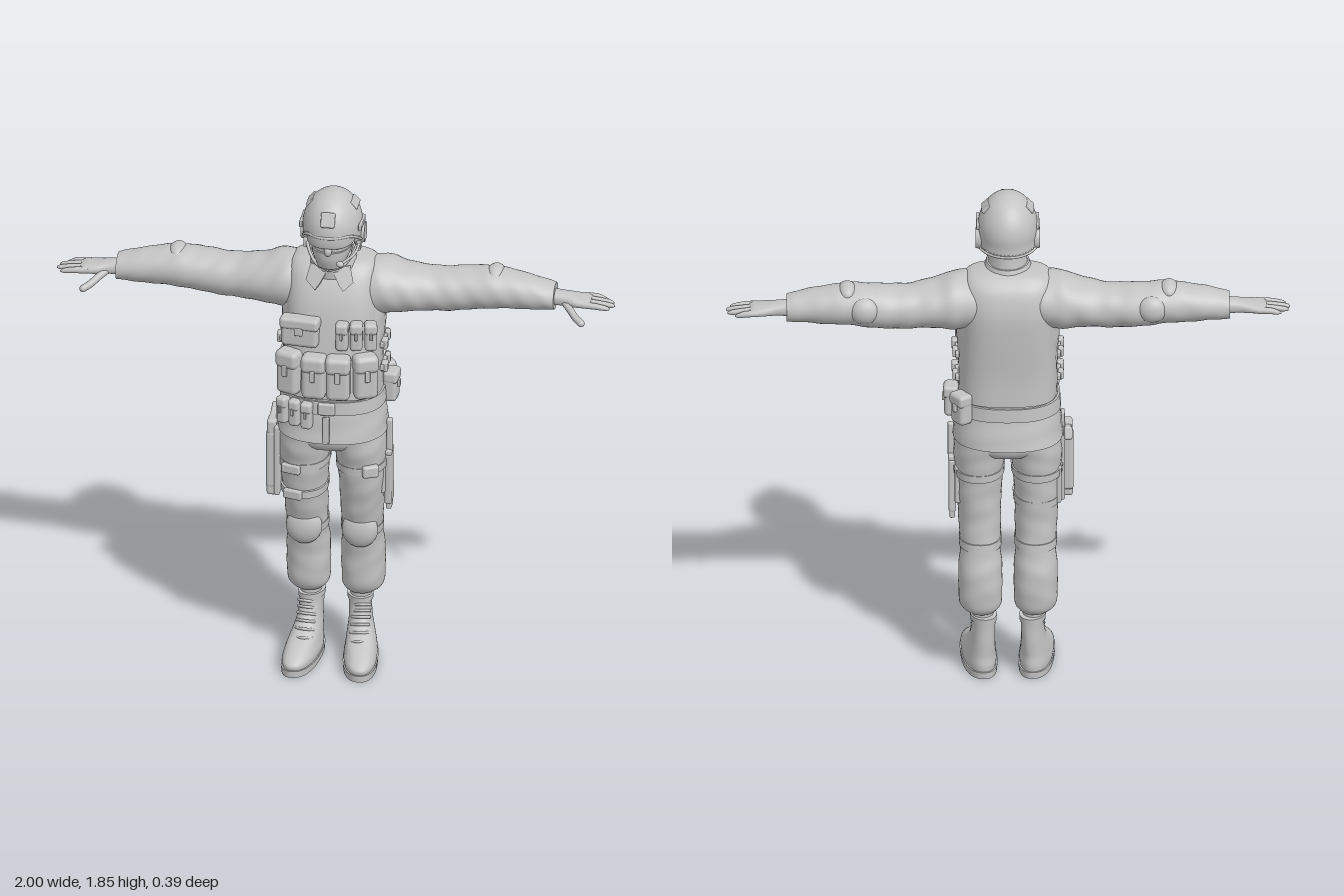
import * as THREE from 'three';
import { RoundedBoxGeometry } from 'three/addons/geometries/RoundedBoxGeometry.js';

const grey = new THREE.MeshStandardMaterial({ color: 0xc4c4c4, side: THREE.DoubleSide });
grey.name = 'plain grey';

// Smooth interpolation through a list of cross-sections
function sample(s, u) {
  const i = Math.min(Math.floor(u), s.length - 2), f = u - i;
  const at = k => s[Math.max(0, Math.min(s.length - 1, k))];
  return s[i].map((b, k) => {
    const a = at(i - 1)[k], c = at(i + 1)[k], d = at(i + 2)[k];
    return b + 0.5 * f * (c - a + f * (2 * a - 5 * b + 4 * c - d + f * (3 * (b - c) + d - a)));
  });
}

// Loft along y with sections [y, cx, cz, rx, rz], or along x with [x, cz, cy, rz, ry]
function loft(name, sections, { axis = 'y', n = 2, fold = 0, steps = 6, seg = 40, bend = 0 } = {}) {
  const pos = [], idx = [], rows = (sections.length - 1) * steps;
  const ring = u => {
    const [t, c1, c2, r1, r2] = sample(sections, u);
    for (let j = 0; j < seg; j++) {
      const th = j / seg * Math.PI * 2, c = Math.cos(th), s = Math.sin(th);
      const w = 1 + fold * Math.sin(t * 62 + 2 * Math.sin(th)) * Math.sin(2 * th + t * 17);
      const a = c1 + r1 * w * Math.sign(c) * Math.abs(c) ** (2 / n);
      const b = c2 + r2 * w * Math.sign(s) * Math.abs(s) ** (2 / n);
      if (axis === 'y') pos.push(a + bend * b, t, b); else pos.push(t, b, a);
    }
    return [t, c1, c2];
  };
  for (let i = 0; i <= rows; i++) ring(i / steps);
  for (let i = 0; i < rows; i++) for (let j = 0; j < seg; j++) {
    const a = i * seg + j, c = i * seg + (j + 1) % seg;
    idx.push(a, a + seg, c, c, a + seg, c + seg);
  }
  for (const end of [0, 1]) {
    const base = pos.length / 3, [t, a, b] = ring(end * (sections.length - 1));
    if (axis === 'y') pos.push(a + bend * b, t, b); else pos.push(t, b, a);
    for (let j = 0; j < seg; j++) {
      const p = base + j, q = base + (j + 1) % seg;
      idx.push(base + seg, end ? q : p, end ? p : q);
    }
  }
  const g = new THREE.BufferGeometry();
  g.setAttribute('position', new THREE.Float32BufferAttribute(pos, 3));
  g.setIndex(idx);
  g.computeVertexNormals();
  return mesh(name, g);
}

function mesh(name, g, p = [0, 0, 0], r = [0, 0, 0], s = [1, 1, 1]) {
  const m = new THREE.Mesh(g, grey);
  m.name = name;
  m.position.set(...p); m.rotation.set(...r); m.scale.set(...s);
  return m;
}
const box = (name, p, [w, h, d], r) =>
  mesh(name, new RoundedBoxGeometry(w, h, d, 2, Math.min(w, h, d) * 0.3), p, r);
const ball = (name, p, s) => mesh(name, new THREE.SphereGeometry(1, 24, 16), p, [0, 0, 0], s);
const tube = (name, pts, r) => mesh(name, new THREE.TubeGeometry(
  new THREE.CatmullRomCurve3(pts.map(p => new THREE.Vector3(...p))), 16, r, 8));

// Pouch with a flap on its outer face and a small snap tab
function pouch(name, p, [w, h, d], ry = 0) {
  const g = new THREE.Group();
  g.name = name;
  g.add(box('pouchBody', [0, 0, 0], [w, h, d]),
    box('pouchFlap', [0, h * 0.32, d * 0.06], [w * 1.06, h * 0.4, d * 1.06]),
    box('pouchTab', [0, h * 0.08, d * 0.56], [w * 0.22, h * 0.26, 0.012]));
  g.position.set(...p); g.rotation.y = ry;
  return g;
}

// Mirrored copy across x with corrected winding
function mirrored(m) {
  m.updateMatrix();
  const g = m.geometry.clone().applyMatrix4(m.matrix).applyMatrix4(new THREE.Matrix4().makeScale(-1, 1, 1));
  const src = g.index ? Array.from(g.index.array) : Array.from({ length: g.attributes.position.count }, (_, i) => i);
  for (let i = 0; i < src.length; i += 3) [src[i], src[i + 1]] = [src[i + 1], src[i]];
  g.setIndex(src);
  return mesh(m.name, g);
}

export function createModel() {
  const root = new THREE.Group();
  root.name = 'soldier';
  const add = (...m) => root.add(...m);
  const pair = (...ms) => ms.forEach(m => root.add(m, mirrored(m)));

  // Jacket, vest, belt and hips
  add(loft('jacket', [[0.92, 0, -0.01, 0.196, 0.177], [0.97, 0, -0.01, 0.19, 0.168], [1.05, 0, -0.008, 0.18, 0.156],
    [1.12, 0, -0.007, 0.176, 0.153], [1.25, 0, -0.015, 0.178, 0.15], [1.35, 0, -0.027, 0.185, 0.145],
    [1.45, 0, -0.037, 0.182, 0.135], [1.53, 0, -0.045, 0.16, 0.11], [1.575, 0, -0.04, 0.11, 0.08]], { n: 2.4, fold: 0.008 }));
  add(loft('vest', [[1.09, 0, -0.007, 0.174, 0.163], [1.2, 0, -0.01, 0.174, 0.16], [1.35, 0, -0.025, 0.17, 0.157],
    [1.45, 0, -0.037, 0.168, 0.148], [1.53, 0, -0.045, 0.163, 0.12], [1.57, 0, -0.045, 0.14, 0.085],
    [1.583, 0, -0.04, 0.08, 0.06]], { n: 3 }));
  add(loft('belt', [[1.03, 0, -0.008, 0.189, 0.165], [1.08, 0, -0.008, 0.185, 0.162]], { n: 2.4, steps: 1 }));
  add(loft('hips', [[0.87, 0, -0.01, 0.12, 0.125], [0.9, 0, -0.01, 0.175, 0.145], [0.98, 0, -0.01, 0.182, 0.155]], { n: 2.4 }));
  add(box('beltBuckle', [0, 1.055, 0.158], [0.06, 0.045, 0.02]), box('jacketPlacket', [0, 0.975, 0.163], [0.025, 0.1, 0.012]));

  // Legs, knee pads and boots
  pair(loft('trouserLeg', [[0.25, 0.093, -0.07, 0.05, 0.058], [0.275, 0.097, -0.07, 0.072, 0.078], [0.33, 0.098, -0.07, 0.078, 0.087],
    [0.42, 0.098, -0.066, 0.077, 0.088], [0.5, 0.098, -0.05, 0.072, 0.088], [0.6, 0.1, -0.03, 0.076, 0.1],
    [0.7, 0.103, -0.018, 0.081, 0.114], [0.8, 0.102, -0.012, 0.088, 0.126], [0.88, 0.098, -0.01, 0.093, 0.139],
    [0.96, 0.09, -0.01, 0.09, 0.145]], { n: 2.2, fold: 0.018 }));
  pair(ball('kneePad', [0.1, 0.525, 0.027], [0.065, 0.07, 0.038]));
  pair(loft('kneePadStrap', [[0.5, 0.098, -0.05, 0.075, 0.092], [0.53, 0.098, -0.045, 0.076, 0.094]], { n: 2.2, steps: 1 }));
  pair(loft('ankle', [[0.18, 0.09, -0.067, 0.036, 0.044], [0.27, 0.09, -0.067, 0.04, 0.046]], { steps: 1 }));
  pair(loft('boot', [[0.02, 0.1, 0.03, 0.058, 0.158], [0.045, 0.1, 0.03, 0.06, 0.16], [0.075, 0.1, 0.008, 0.055, 0.134],
    [0.105, 0.098, -0.028, 0.049, 0.098], [0.14, 0.096, -0.055, 0.043, 0.072], [0.19, 0.094, -0.068, 0.041, 0.058],
    [0.228, 0.094, -0.07, 0.044, 0.058]], { n: 2.3, bend: 0.1 }));
  pair(loft('bootSole', [[0, 0.1, 0.03, 0.061, 0.163], [0.025, 0.1, 0.03, 0.063, 0.164]], { n: 2.4, steps: 1, bend: 0.1 }));
  pair(loft('bootCuff', [[0.212, 0.094, -0.07, 0.046, 0.061], [0.232, 0.094, -0.07, 0.047, 0.062]], { steps: 1, bend: 0.1 }));
  for (let i = 0; i < 6; i++) {
    const y = 0.1 + i * 0.021, z = [0.078, 0.05, 0.027, 0.01, 0, -0.006][i];
    pair(tube('lace', [[0.066, y - 0.008, z - 0.022], [0.1, y + 0.004, z], [0.13, y - 0.004, z - 0.022]], 0.0055));
  }

  // Sleeves, elbow pads and hands
  pair(loft('sleeve', [[0.1, -0.052, 1.465, 0.11, 0.095], [0.18, -0.055, 1.464, 0.118, 0.104], [0.26, -0.063, 1.457, 0.107, 0.087],
    [0.35, -0.073, 1.45, 0.092, 0.079], [0.45, -0.083, 1.454, 0.09, 0.078], [0.55, -0.085, 1.464, 0.086, 0.075],
    [0.65, -0.084, 1.461, 0.076, 0.067], [0.75, -0.08, 1.452, 0.064, 0.053], [0.785, -0.08, 1.448, 0.059, 0.047]],
  { axis: 'x', fold: 0.025 }));
  pair(ball('elbowPad', [0.51, 1.465, -0.147], [0.055, 0.05, 0.04]), ball('sleeveFold', [0.57, 1.515, -0.09], [0.035, 0.034, 0.055]));
  pair(loft('hand', [[0.76, -0.078, 1.447, 0.034, 0.029], [0.82, -0.076, 1.445, 0.036, 0.024], [0.86, -0.074, 1.442, 0.046, 0.02],
    [0.9, -0.075, 1.44, 0.048, 0.016], [0.915, -0.075, 1.439, 0.044, 0.011]], { axis: 'x', n: 2.4, seg: 24 }));
  [[-0.115, 0.968], [-0.089, 0.994], [-0.063, 1], [-0.036, 0.985]].forEach(([z, tip]) =>
    pair(loft('finger', [[0.885, z, 1.441, 0.011, 0.012], [0.93, z, 1.439, 0.0115, 0.0115], [tip - 0.015, z, 1.434, 0.009, 0.009],
      [tip, z, 1.432, 0.003, 0.003]], { axis: 'x', seg: 12, steps: 3 })));
  pair(tube('thumb', [[0.815, 1.44, -0.06], [0.845, 1.425, -0.025], [0.87, 1.41, 0.008], [0.893, 1.4, 0.028]], 0.013),
    ball('thumbTip', [0.893, 1.4, 0.028], [0.013, 0.013, 0.013]));

  // Neck, collar and head
  add(loft('neck', [[1.53, 0, -0.015, 0.085, 0.095], [1.585, 0, -0.008, 0.072, 0.09], [1.66, 0, -0.015, 0.06, 0.075]], {}));
  add(loft('collar', [[1.545, 0, -0.022, 0.1, 0.1], [1.575, 0, -0.012, 0.085, 0.098], [1.597, 0, -0.01, 0.076, 0.092]], { steps: 3 }));
  const lapel = new THREE.Shape([[0.004, 0.08], [0.07, 0.095], [0.085, 0.035], [0.05, 0], [0.035, 0.02]].map(p => new THREE.Vector2(...p)));
  pair(mesh('collarPoint', new THREE.ExtrudeGeometry(lapel, { depth: 0.01, bevelEnabled: false }), [0, 1.495, 0.1], [-0.4, 0.15, 0]));
  add(loft('head', [[1.573, 0, 0.065, 0.028, 0.03], [1.59, 0, 0.055, 0.045, 0.05], [1.63, 0, 0.025, 0.064, 0.09],
    [1.68, 0, 0.013, 0.076, 0.107], [1.75, 0, 0.01, 0.08, 0.11]], { n: 2.2 }));
  add(ball('nose', [0, 1.663, 0.122], [0.014, 0.02, 0.018]));
  add(loft('faceMask', [[1.585, 0, 0.06, 0.045, 0.05], [1.62, 0, 0.035, 0.064, 0.088], [1.655, 0, 0.02, 0.074, 0.107]], { n: 2.2 }));
  add(loft('goggles', [[1.672, 0, 0.03, 0.078, 0.096], [1.682, 0, 0.03, 0.086, 0.107], [1.722, 0, 0.03, 0.088, 0.109],
    [1.735, 0, 0.03, 0.08, 0.1]], { n: 2.4 }));

  // Helmet shell, with an edge cut higher over the face
  const shell = new THREE.SphereGeometry(1, 48, 24), p = shell.attributes.position;
  const size = [0.107, 0.132, 0.131];
  for (let i = 0; i < p.count; i++) {
    const th = Math.acos(THREE.MathUtils.clamp(p.getY(i), -1, 1)), ph = Math.atan2(p.getX(i), p.getZ(i));
    const t = th / Math.PI * (Math.PI / 2 + 0.5 * THREE.MathUtils.smoothstep(Math.abs(ph), 0.6, 1.9));
    const r = Math.sin(Math.min(t, Math.PI / 2 + 0.22));
    p.setXYZ(i, r * Math.sin(ph) * size[0], Math.cos(t) * size[1], r * Math.cos(ph) * size[2]);
  }
  shell.computeVertexNormals();
  add(mesh('helmet', shell, [0, 1.72, 0.008]));
  const rim = [];
  for (let i = 0; i < 32; i++) {
    const a = i / 32 * Math.PI * 2, ph = Math.abs(Math.atan2(Math.sin(a), Math.cos(a)));
    const t = Math.PI / 2 + 0.5 * THREE.MathUtils.smoothstep(ph, 0.6, 1.9), r = Math.sin(Math.min(t, Math.PI / 2 + 0.22));
    rim.push(new THREE.Vector3(r * Math.sin(a) * size[0], 1.72 + Math.cos(t) * size[1], 0.008 + r * Math.cos(a) * size[2]));
  }
  add(mesh('helmetRim', new THREE.TubeGeometry(new THREE.CatmullRomCurve3(rim, true), 64, 0.005, 8, true)));
  add(box('helmetMount', [0, 1.785, 0.122], [0.05, 0.055, 0.022], [-0.45, 0, 0]));
  pair(box('helmetPatch', [0.078, 1.805, 0], [0.012, 0.035, 0.07], [0, 0, 0.75]),
    box('helmetRail', [0.106, 1.735, 0.02], [0.012, 0.022, 0.1]));

  // Headset, chin strap and microphone
  pair(mesh('earCup', new THREE.CylinderGeometry(0.033, 0.042, 0.035, 24), [0.097, 1.685, -0.01], [0, 0, -Math.PI / 2], [1.15, 1, 1]),
    tube('chinStrap', [[0.095, 1.67, 0.01], [0.082, 1.63, 0.04], [0.05, 1.59, 0.075], [0, 1.573, 0.095]], 0.006),
    tube('neckStrap', [[0.095, 1.67, -0.04], [0.08, 1.64, -0.02], [0.075, 1.625, 0.04]], 0.006),
    box('strapBuckle', [0.095, 1.645, 0.02], [0.016, 0.035, 0.025]));
  add(tube('microphoneArm', [[0.1, 1.665, 0.01], [0.088, 1.635, 0.07], [0.05, 1.62, 0.13]], 0.005),
    ball('microphone', [0.045, 1.62, 0.134], [0.014, 0.011, 0.011]));

  // Chest and magazine pouches
  add(pouch('chestPouch', [-0.097, 1.345, 0.13], [0.135, 0.11, 0.055], -0.12));
  [0.053, 0.103, 0.153].forEach((x, i) => add(pouch('smallMagazinePouch', [x, 1.338, 0.135 - i * 0.008], [0.044, 0.105, 0.05], 0.1 * i)));
  [[-0.135, 0.132, -0.4], [-0.043, 0.16, -0.06], [0.043, 0.16, 0.06], [0.135, 0.132, 0.4]].forEach(([x, z, r]) =>
    add(pouch('magazinePouch', [x, 1.185, z], [0.085, 0.165, 0.065], r)));

  // Side buckles joining the vest panels
  for (const y of [1.17, 1.26]) pair(box('sideStrap', [0.18, y, -0.03], [0.014, 0.022, 0.13]),
    box('sideBuckle', [0.187, y, 0.01], [0.024, 0.04, 0.035]), box('sideBuckleEnd', [0.187, y, -0.06], [0.02, 0.036, 0.03]));

  // Belt pouches
  [-0.16, -0.115, -0.07].forEach((x, i) => add(pouch('beltPouch', [x, 1.025, 0.118 + i * 0.018], [0.04, 0.1, 0.042], -0.45 + i * 0.14)));
  add(pouch('utilityPouch', [0.2, 1.07, -0.05], [0.07, 0.115, 0.05], 1.5),
    pouch('utilityPouch', [0.165, 1.07, -0.128], [0.07, 0.115, 0.055], 2.2));

  // Thigh straps, cargo pockets, holster and knife
  const strap = (s, y, r) => add(loft('thighStrap', [[y - 0.014, s * 0.103, -0.014, r, r * 1.4], [y + 0.014, s * 0.103, -0.014, r + 0.002, r * 1.41]],
    { n: 2.2, steps: 1 }));
  strap(-1, 0.79, 0.091); strap(-1, 0.68, 0.084); strap(1, 0.79, 0.091);
  add(box('strapClip', [-0.135, 0.785, 0.108], [0.07, 0.035, 0.022], [0, -0.3, 0]), box('strapClip', [-0.13, 0.68, 0.098], [0.07, 0.035, 0.022], [0, -0.3, 0]),
    box('strapClip', [0.15, 0.795, 0.105], [0.06, 0.045, 0.03], [0, 0.4, 0]));
  pair(box('cargoPocket', [0.178, 0.74, -0.03], [0.022, 0.14, 0.11]));
  add(box('holsterPlate', [-0.192, 0.79, 0.02], [0.02, 0.27, 0.1]), box('holsterBody', [-0.213, 0.79, 0.03], [0.042, 0.22, 0.065]),
    box('holsterMuzzle', [-0.213, 0.685, 0.035], [0.036, 0.07, 0.05]), box('holsterHanger', [-0.195, 0.92, 0.01], [0.014, 0.14, 0.04]),
    box('pistolSlide', [-0.213, 0.915, 0.025], [0.034, 0.06, 0.07]), box('pistolGrip', [-0.213, 0.925, -0.03], [0.03, 0.05, 0.095], [0.35, 0, 0]));
  add(box('knifeSheath', [0.197, 0.72, -0.02], [0.026, 0.2, 0.062], [0.05, 0, 0]), box('knifeSheathTip', [0.197, 0.62, -0.027], [0.02, 0.05, 0.045]),
    box('knifeGuard', [0.2, 0.828, -0.012], [0.024, 0.02, 0.065]), box('knifeHandle', [0.202, 0.89, -0.006], [0.022, 0.13, 0.026]));
  return root;
}
